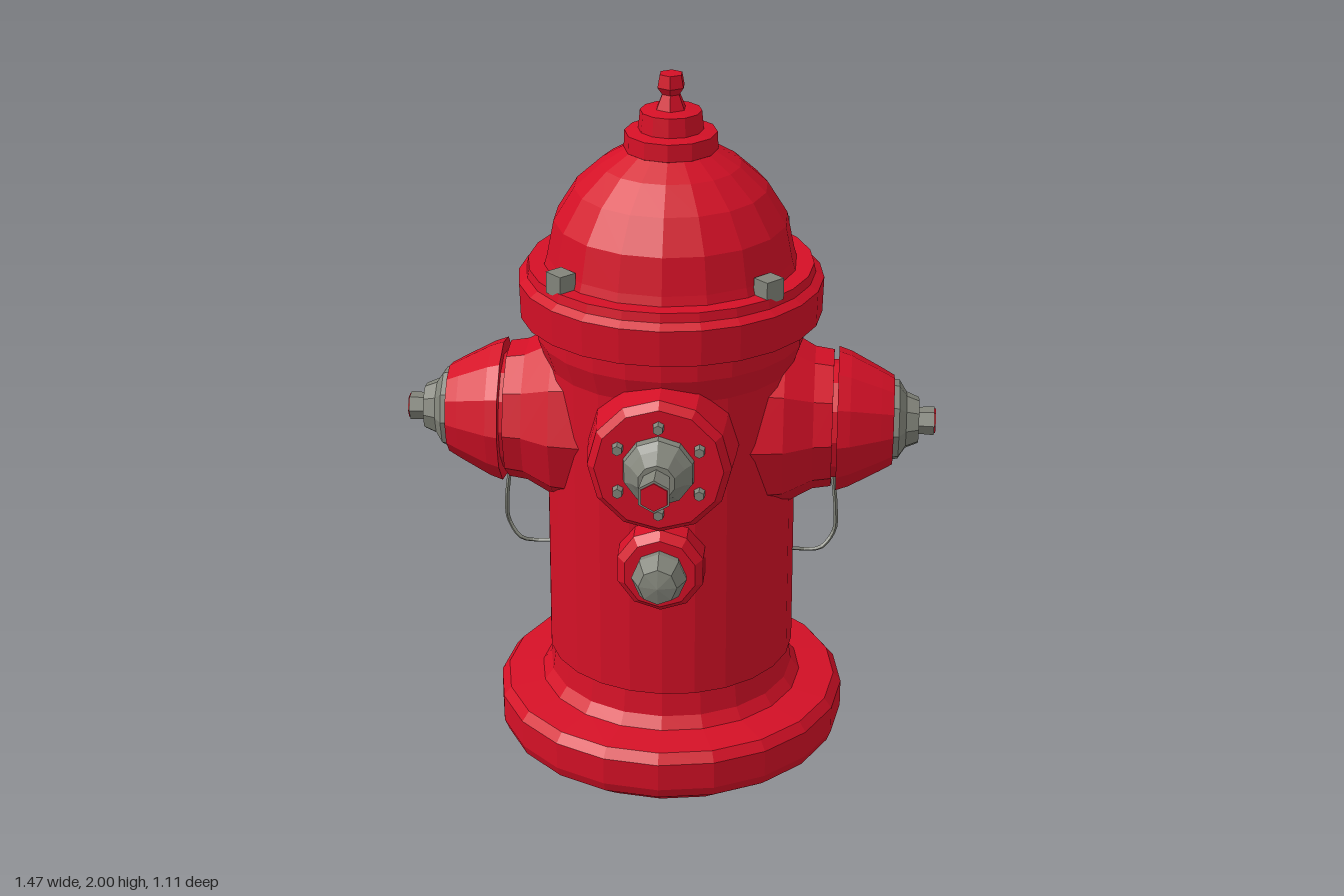
import * as THREE from 'three';

const red = new THREE.MeshStandardMaterial({ color: 0xd41026, flatShading: true });
red.name = 'red paint';
const grey = new THREE.MeshStandardMaterial({ color: 0x82847a, flatShading: true, side: THREE.DoubleSide });
grey.name = 'grey metal';

const AXIS_Z = -0.06;

function add(parent, name, geometry, material) {
  const mesh = new THREE.Mesh(geometry, material);
  mesh.name = name;
  parent.add(mesh);
  return mesh;
}

// Turned part from [radius, height] pairs, listed from bottom to top
function turned(parent, name, points, sides, material) {
  const profile = points.map(([r, y]) => new THREE.Vector2(r, y));
  return add(parent, name, new THREE.LatheGeometry(profile, sides), material);
}

// Side outlet built along +y, then tipped outwards; side is +1 or -1
function sideOutlet(side) {
  const group = new THREE.Group();
  group.name = side > 0 ? 'leftOutlet' : 'rightOutlet';
  const arm = new THREE.Group();
  arm.name = 'outletArm';
  arm.rotation.z = -side * Math.PI / 2;
  arm.position.y = 1.015;
  group.add(arm);
  turned(arm, 'outletNeck', [[0.26, 0.2], [0.245, 0.32], [0.2, 0.4], [0.192, 0.452], [0, 0.452]], 10, red);
  turned(arm, 'outletSeam', [[0.165, 0.44], [0.165, 0.475]], 12, red);
  turned(arm, 'outletCap', [[0, 0.465], [0.202, 0.465], [0.19, 0.5], [0.145, 0.585], [0.125, 0.62], [0, 0.62]], 12, red);
  turned(arm, 'capCollar', [[0.118, 0.595], [0.112, 0.635], [0.08, 0.655], [0.065, 0.69], [0, 0.69]], 9, grey);
  turned(arm, 'capNut', [[0.037, 0.68], [0.04, 0.733], [0, 0.733]], 6, grey);
  turned(arm, 'nutFace', [[0.034, 0.731], [0.034, 0.737], [0, 0.737]], 6, red);

  // Hanging retaining chain
  const path = new THREE.CatmullRomCurve3([
    [0.457, 0.84], [0.468, 0.73], [0.465, 0.66], [0.43, 0.612], [0.39, 0.598], [0.345, 0.605],
  ].map(([x, y], i) => new THREE.Vector3(x * side, y, i % 2 ? 0.006 : -0.006)));
  add(group, 'chain', new THREE.TubeGeometry(path, 18, 0.006, 4, false), grey);
  return group;
}

export function createModel() {
  const model = new THREE.Group();
  model.name = 'fireHydrant';
  const body = new THREE.Group();
  body.name = 'hydrantBody';
  body.position.z = AXIS_Z;
  model.add(body);

  // Base, barrel and top flange
  turned(body, 'baseFlange', [[0, 0], [0.4, 0], [0.485, 0.06], [0.497, 0.09], [0.497, 0.17],
    [0.475, 0.197], [0.36, 0.21], [0, 0.21]], 20, red);
  turned(body, 'barrelFoot', [[0.385, 0.195], [0.35, 0.24], [0.34, 0.315], [0, 0.315]], 20, red);
  turned(body, 'barrel', [[0, 0.312], [0.35, 0.312], [0.347, 1.2], [0.37, 1.27], [0.37, 1.35]], 24, red);
  turned(body, 'topFlange', [[0.35, 1.335], [0.415, 1.335], [0.418, 1.435], [0.395, 1.45],
    [0.39, 1.475], [0.33, 1.475]], 24, red);

  // Bonnet dome and stepped operating nut
  turned(body, 'bonnet', [[0.35, 1.46], [0.338, 1.5], [0.318, 1.6], [0.262, 1.69], [0.19, 1.755],
    [0.115, 1.8], [0, 1.8]], 18, red);
  turned(body, 'bonnetCollar', [[0.11, 1.785], [0.127, 1.795], [0.125, 1.842], [0.088, 1.848],
    [0.083, 1.9], [0.045, 1.905], [0, 1.905]], 12, red);
  turned(body, 'operatingNut', [[0.045, 1.9], [0.026, 1.945], [0.04, 1.965], [0.033, 2], [0, 2]], 6, red);

  // Flange bolts
  for (const x of [-1, 1]) for (const z of [-1, 1]) {
    const bolt = add(body, 'flangeBolt', new THREE.BoxGeometry(0.06, 0.06, 0.052), grey);
    bolt.position.set(x * 0.275, 1.492, z * 0.238);
    bolt.rotation.y = x * z * Math.PI / 4;
  }

  body.add(sideOutlet(1), sideOutlet(-1));

  // Large front outlet, turned to face +z
  const front = new THREE.Group();
  front.name = 'frontOutlet';
  front.rotation.x = Math.PI / 2;
  front.position.y = 1.055;
  model.add(front);
  turned(front, 'frontNeck', [[0.21, 0.1], [0.2, 0.28], [0.192, 0.37], [0.172, 0.392], [0, 0.392]], 12, red);
  turned(front, 'frontCollar', [[0.1, 0.385], [0.095, 0.412], [0.075, 0.43], [0.05, 0.47], [0, 0.47]], 10, grey);
  turned(front, 'frontNut', [[0.038, 0.455], [0.047, 0.552], [0, 0.552]], 6, grey);
  turned(front, 'nutFace', [[0.04, 0.55], [0.04, 0.556], [0, 0.556]], 6, red);
  for (let i = 0; i < 6; i++) {
    const a = i * Math.PI / 3;
    const bolt = add(front, 'frontBolt', new THREE.CylinderGeometry(0.014, 0.017, 0.03, 6), grey);
    bolt.position.set(Math.sin(a) * 0.125, 0.4, Math.cos(a) * 0.125);
  }

  // Small drain plug below the front outlet
  const drain = new THREE.Group();
  drain.name = 'drainPlug';
  drain.rotation.x = Math.PI / 2;
  drain.position.y = 0.73;
  model.add(drain);
  turned(drain, 'drainBoss', [[0.125, 0.1], [0.122, 0.34], [0.1, 0.365], [0, 0.365]], 10, red);
  turned(drain, 'drainNut', [[0.07, 0.355], [0.075, 0.39], [0.052, 0.44], [0, 0.452]], 8, grey);

  return model;
}
